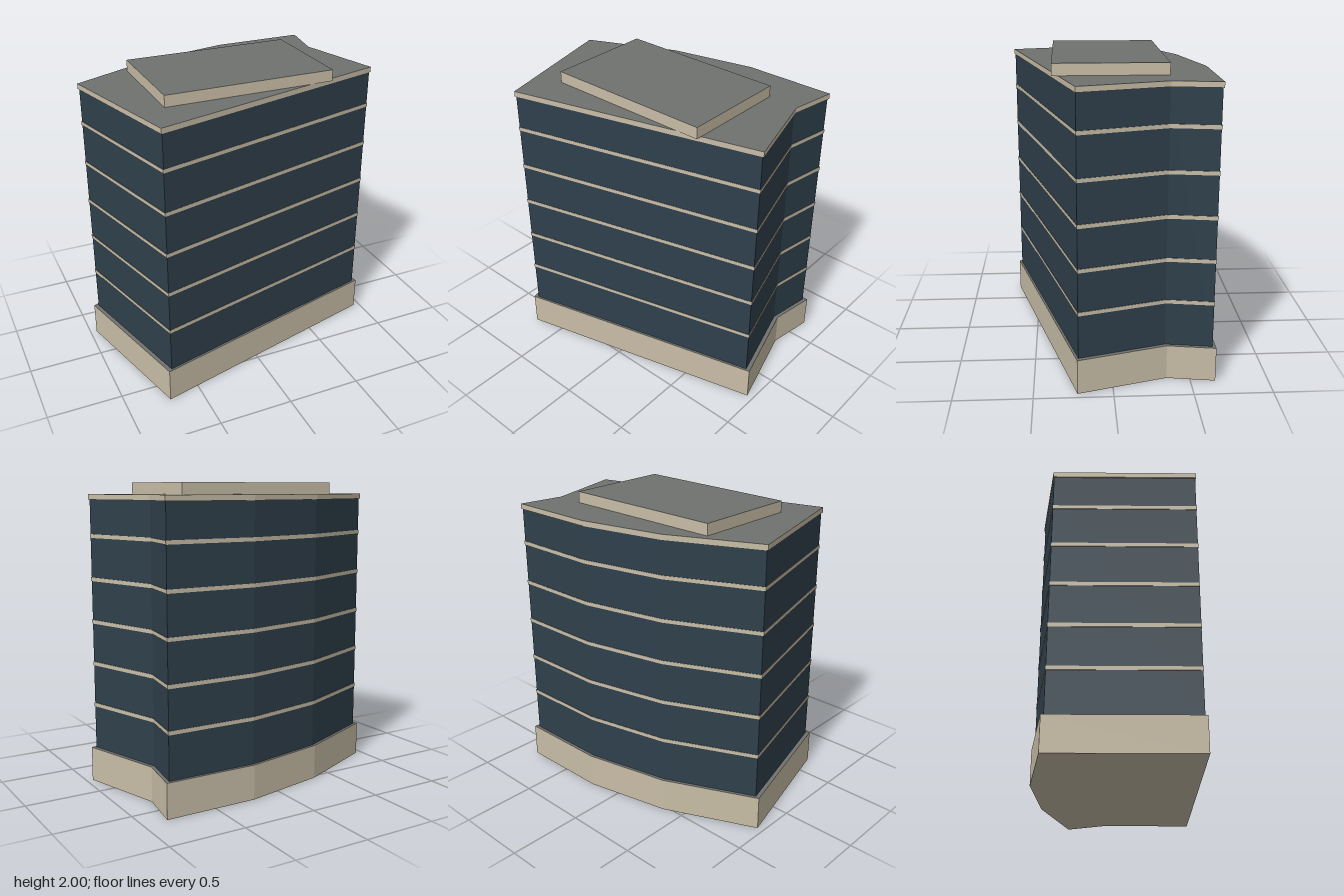
import * as THREE from 'three';

// Footprint corners as [x, z], counter-clockwise seen from above
const FOOTPRINT = [
  [-0.957, -0.26], [-0.715, 0.66], [0.957, 0.225], [0.79, -0.35],
  [0.84, -0.66], [0.215, -0.655], [-0.36, -0.53],
];
const PENTHOUSE = [[-0.573, -0.362], [-0.573, 0.357], [0.56, 0.357], [0.56, -0.362]];

const stone = new THREE.MeshStandardMaterial({ color: 0xc8bda6 });
stone.name = 'stone';
const glass = new THREE.MeshStandardMaterial({ color: 0x2f404c });
glass.name = 'glass';
const roofing = new THREE.MeshStandardMaterial({ color: 0x707270 });
roofing.name = 'roofing';

// Upright prism over an outline: walls and underside in one material, roofing on top
function slab(name, outline, scale, bottom, top, wall) {
  const shape = new THREE.Shape(outline.map(([x, z]) => new THREE.Vector2(x * scale, -z * scale)));
  const geometry = new THREE.ExtrudeGeometry(shape, { depth: top - bottom, bevelEnabled: false });
  const [caps, sides] = geometry.groups;
  const half = caps.count / 2;
  geometry.clearGroups();
  geometry.addGroup(caps.start, half, 0);
  geometry.addGroup(caps.start + half, half, 1);
  geometry.addGroup(sides.start, sides.count, 0);
  geometry.rotateX(-Math.PI / 2);
  geometry.translate(0, bottom, 0);
  const mesh = new THREE.Mesh(geometry, [wall, roofing]);
  mesh.name = name;
  return mesh;
}

export function createModel() {
  const building = new THREE.Group();
  building.name = 'officeBuilding';

  building.add(slab('base', FOOTPRINT, 1, 0, 0.23, stone));
  building.add(slab('glassTower', FOOTPRINT, 0.968, 0.23, 1.89, glass));

  // Stone bands at the floor lines
  for (let i = 0; i < 5; i++) {
    const y = 0.516 + i * 0.282;
    building.add(slab(`floorBand${i + 1}`, FOOTPRINT, 0.973, y, y + 0.025, stone));
  }

  building.add(slab('cornice', FOOTPRINT, 0.978, 1.89, 1.925, stone));
  building.add(slab('penthouse', PENTHOUSE, 1, 1.925, 2, stone));
  return building;
}
